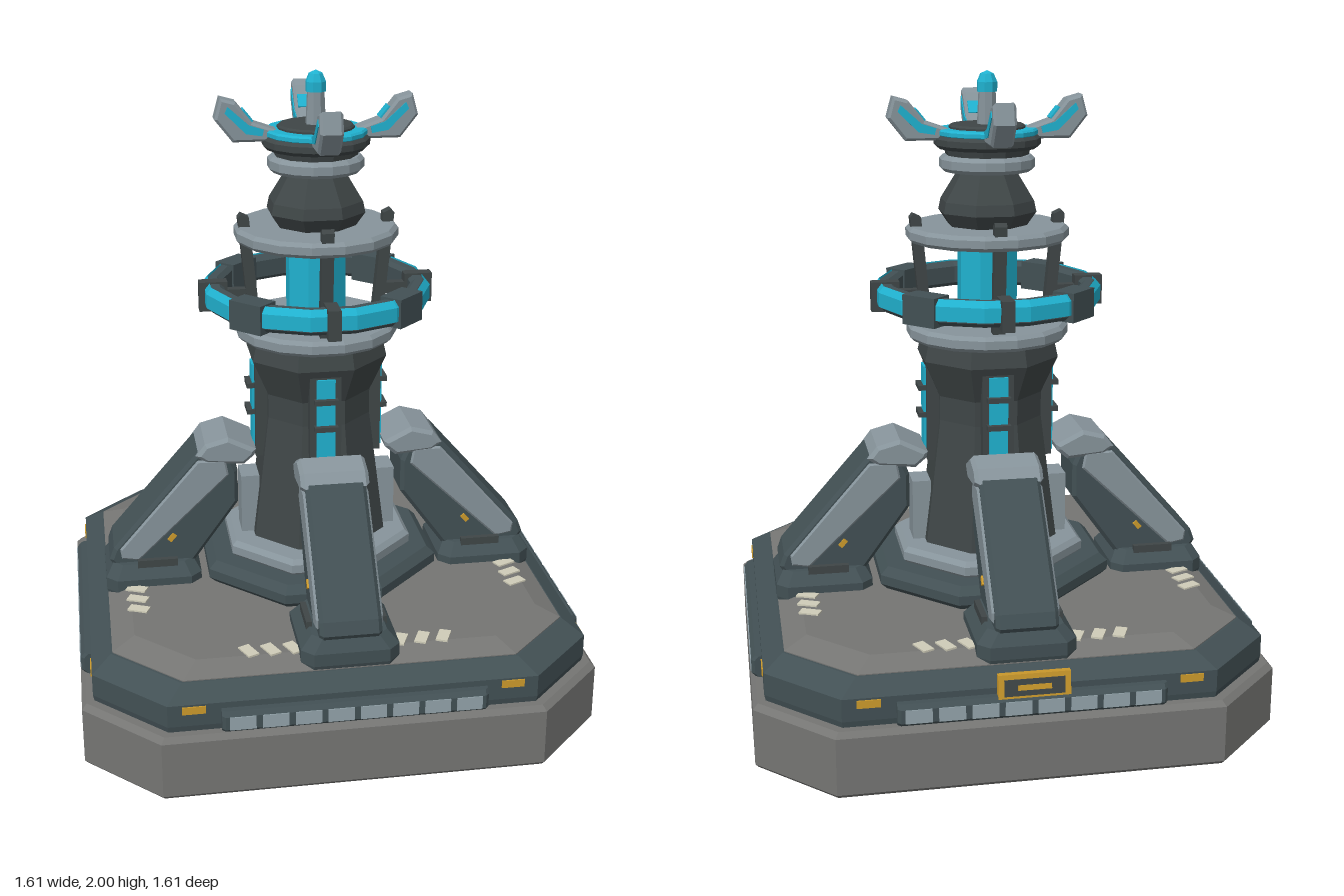
import * as THREE from 'three';

const mat = (name, color) => {
  const m = new THREE.MeshStandardMaterial({ color });
  m.name = name;
  return m;
};
const concrete = mat('concrete', 0x757573);
const slate = mat('dark slate', 0x425054);
const iron = mat('dark iron', 0x3f4647);
const steel = mat('light steel', 0x87949b);
const cyan = mat('cyan glow', 0x20b2d0);
const amber = mat('amber', 0xcc9a2c);
const ivory = mat('ivory paint', 0xcfccb8);
const pane = mat('pale pane', 0x93a3aa);

// Faceted mesh added to a parent
function add(parent, name, geometry, material) {
  const g = geometry.index ? geometry.toNonIndexed() : geometry;
  g.computeVertexNormals();
  const mesh = new THREE.Mesh(g, material);
  mesh.name = name;
  parent.add(mesh);
  return mesh;
}

function box(parent, name, m, [w, h, d], [x, y, z]) {
  const mesh = add(parent, name, new THREE.BoxGeometry(w, h, d), m);
  mesh.position.set(x, y, z);
  return mesh;
}

// Polygonal turned part; radii are measured to the flats
function turned(parent, name, m, sides, profile) {
  const k = 1 / Math.cos(Math.PI / sides);
  const g = new THREE.LatheGeometry(profile.map(([r, y]) => new THREE.Vector2(r * k, y)), sides);
  g.rotateY(Math.PI / sides);
  return add(parent, name, g, m);
}

// Disc with bevelled rim
function disc(parent, name, m, sides, r, y0, y1, b = 0.012) {
  return turned(parent, name, m, sides,
    [[0, y0], [r - b, y0], [r, y0 + b], [r, y1 - b], [r - b, y1], [0, y1]]);
}

// Stack of corner-cut rectangles, each [halfX, halfZ, cut, y]
function slab(parent, name, m, sections) {
  const rings = sections.map(([a, b, c, y]) => [
    [a - c, b], [a, b - c], [a, c - b], [a - c, -b],
    [c - a, -b], [-a, c - b], [-a, b - c], [c - a, b],
  ].map(([x, z]) => [x, y, z]));
  const v = [];
  const last = rings.length - 1;
  for (let j = 0; j < 8; j++) {
    const k = (j + 1) % 8;
    for (let i = 0; i < last; i++) {
      const [a, b, c, d] = [rings[i][j], rings[i][k], rings[i + 1][k], rings[i + 1][j]];
      v.push(...a, ...b, ...d, ...b, ...c, ...d);
    }
    v.push(0, sections[last][3], 0, ...rings[last][j], ...rings[last][k]);
    v.push(0, sections[0][3], 0, ...rings[0][k], ...rings[0][j]);
  }
  const g = new THREE.BufferGeometry();
  g.setAttribute('position', new THREE.Float32BufferAttribute(v, 3));
  return add(parent, name, g, m);
}

// Side profile in x and y, given a width centred on z
function plate(parent, name, m, profile, width, bevel = 0) {
  const shape = new THREE.Shape(profile.map(([x, y]) => new THREE.Vector2(x, y)));
  const g = new THREE.ExtrudeGeometry(shape, {
    depth: width - 2 * bevel, bevelEnabled: bevel > 0, bevelSegments: 1,
    bevelSize: bevel, bevelThickness: bevel, bevelOffset: -bevel,
  });
  g.translate(0, 0, bevel - width / 2);
  return add(parent, name, g, m);
}

// Everything that repeats on each of the four sides, built toward +x
function buildSide(side) {
  // Edge light strip and amber markers
  const strip = slab(side, 'edgeStrip', slate,
    [[0.02, 0.4, 0.01, 0.208], [0.032, 0.4, 0.01, 0.22], [0.032, 0.4, 0.01, 0.262], [0.02, 0.4, 0.01, 0.276]]);
  strip.position.x = 0.77;
  for (let i = 0; i < 8; i++) {
    box(side, 'stripPane', pane, [0.006, 0.042, 0.078], [0.802, 0.241, (i - 3.5) * 0.097]);
  }
  for (const s of [-1, 1]) {
    box(side, 'amberMarker', amber, [0.008, 0.024, 0.07], [0.77, 0.277, s * 0.48]);
    // Slanted deck markings
    for (const z of [0.165, 0.233, 0.3]) {
      const mark = box(side, 'deckMarking', ivory, [0.065, 0.006, 0.036], [0.613, 0.367, s * z]);
      mark.rotation.y = s * 0.42;
    }
  }

  // Buttress
  const foot = slab(side, 'buttressFoot', slate,
    [[0.15, 0.145, 0.03, 0.335], [0.155, 0.15, 0.035, 0.35], [0.155, 0.15, 0.035, 0.39], [0.13, 0.115, 0.03, 0.43]]);
  foot.position.x = 0.553;
  plate(side, 'buttressBody', slate,
    [[0.43, 0.4], [0.67, 0.4], [0.695, 0.44], [0.68, 0.48], [0.4, 0.8], [0.3, 0.8], [0.27, 0.73], [0.27, 0.62]], 0.19, 0.012);
  plate(side, 'buttressSidePanel', steel,
    [[0.6, 0.435], [0.655, 0.445], [0.66, 0.478], [0.4, 0.775], [0.31, 0.775], [0.3, 0.72]], 0.204, 0.006);
  plate(side, 'buttressCap', steel,
    [[0.25, 0.755], [0.37, 0.765], [0.405, 0.79], [0.375, 0.83], [0.3, 0.85], [0.21, 0.805], [0.215, 0.785]], 0.214, 0.012);
  for (const s of [-1, 1]) {
    const lamp = box(side, 'buttressLamp', amber, [0.028, 0.016, 0.006], [0.49, 0.512, s * 0.102]);
    lamp.rotation.z = -0.85;
    box(side, 'footClip', iron, [0.13, 0.03, 0.018], [0.54, 0.43, s * 0.115]);
  }

  // Tower fittings
  box(side, 'towerBasePanel', steel, [0.06, 0.2, 0.1], [0.225, 0.59, 0]);
  box(side, 'windowFrame', iron, [0.05, 0.33, 0.1], [0.18, 0.925, 0]);
  box(side, 'towerWindow', cyan, [0.05, 0.3, 0.06], [0.188, 0.92, 0]);
  for (const y of [0.91, 1.0]) box(side, 'windowBar', iron, [0.06, 0.016, 0.075], [0.2, y, 0]);

  // Cage post, ring bracket and spoke
  plate(side, 'cagePost', iron, [[0.18, 1.2], [0.215, 1.2], [0.248, 1.55], [0.238, 1.562], [0.213, 1.55]], 0.038);
  box(side, 'ringSpoke', iron, [0.1, 0.035, 0.03], [0.265, 1.302, 0]);
  box(side, 'ringBracket', iron, [0.09, 0.095, 0.04], [0.329, 1.3, 0]);

  // Antenna prong with cyan inlay
  plate(side, 'antennaProng', steel,
    [[0.1, 1.79], [0.26, 1.79], [0.315, 1.86], [0.297, 1.925], [0.25, 1.912], [0.2, 1.85], [0.1, 1.815]], 0.07, 0.008);
  plate(side, 'prongInlay', cyan,
    [[0.17, 1.808], [0.22, 1.816], [0.284, 1.88], [0.275, 1.9], [0.21, 1.842], [0.165, 1.828]], 0.076);
  const patch = box(side, 'prongPatch', cyan, [0.045, 0.008, 0.05], [0.213, 1.868, 0]);
  patch.rotation.z = 0.89;
}

export function createModel() {
  const model = new THREE.Group();
  model.name = 'beaconTower';

  // Stepped platform
  slab(model, 'foundation', concrete,
    [[0.795, 0.795, 0.22, 0], [0.805, 0.805, 0.225, 0.012], [0.805, 0.805, 0.225, 0.19], [0.79, 0.79, 0.22, 0.206]]);
  slab(model, 'platformRim', slate,
    [[0.765, 0.765, 0.21, 0.2], [0.77, 0.77, 0.212, 0.225], [0.77, 0.77, 0.212, 0.295], [0.71, 0.71, 0.2, 0.335]]);
  slab(model, 'deck', concrete,
    [[0.705, 0.705, 0.2, 0.33], [0.705, 0.705, 0.2, 0.338], [0.635, 0.635, 0.175, 0.365]]);

  // Four matching sides
  for (let i = 0; i < 4; i++) {
    const side = new THREE.Group();
    side.name = 'side' + (i + 1);
    side.rotation.y = i * Math.PI / 2;
    buildSide(side);
    model.add(side);
  }

  // Rear plaque, tilted on the rim
  const plaque = new THREE.Group();
  plaque.name = 'rearPlaque';
  plaque.position.set(0, 0.3, -0.782);
  plaque.rotation.x = 0.1;
  box(plaque, 'plaqueFrame', amber, [0.215, 0.08, 0.022], [0, 0, 0]);
  box(plaque, 'plaqueFace', iron, [0.18, 0.05, 0.008], [0, 0, -0.01]);
  box(plaque, 'plaqueBar', amber, [0.1, 0.016, 0.006], [0, 0, -0.013]);
  model.add(plaque);

  // Tower
  disc(model, 'towerFlange', slate, 8, 0.375, 0.36, 0.44, 0.025);
  disc(model, 'towerCollar', steel, 8, 0.295, 0.435, 0.492, 0.015);
  turned(model, 'towerShaft', iron, 8,
    [[0, 0.45], [0.22, 0.45], [0.165, 0.9], [0.165, 0.98], [0.215, 1.1], [0.2, 1.17], [0, 1.17]]);
  disc(model, 'lowerRing', steel, 16, 0.255, 1.16, 1.21);
  turned(model, 'energyCore', cyan, 8, [[0, 1.2], [0.09, 1.2], [0.09, 1.485], [0, 1.485]]);
  disc(model, 'upperRing', steel, 16, 0.255, 1.474, 1.522);
  turned(model, 'spire', iron, 8,
    [[0, 1.515], [0.115, 1.515], [0.147, 1.565], [0.14, 1.6], [0.085, 1.695], [0, 1.695]]);
  disc(model, 'spireRing', steel, 16, 0.148, 1.692, 1.742);
  turned(model, 'spireNeck', iron, 12, [[0, 1.735], [0.125, 1.735], [0.135, 1.775], [0, 1.775]]);

  // Antenna head
  disc(model, 'antennaDish', iron, 16, 0.165, 1.763, 1.806);
  disc(model, 'antennaGlow', cyan, 16, 0.157, 1.8, 1.824, 0.006);
  disc(model, 'antennaLid', iron, 16, 0.118, 1.815, 1.836, 0.006);
  turned(model, 'antennaMast', steel, 8, [[0, 1.83], [0.03, 1.83], [0.025, 1.945], [0, 1.945]]);
  turned(model, 'antennaTip', cyan, 8,
    [[0, 1.935], [0.03, 1.935], [0.03, 1.965], [0.02, 1.99], [0, 2.0]]);

  // Floating ring with cyan band and diagonal clamps
  turned(model, 'floatingRing', slate, 16,
    [[0.295, 1.275], [0.31, 1.262], [0.335, 1.262], [0.348, 1.275], [0.348, 1.33], [0.335, 1.342],
      [0.31, 1.342], [0.295, 1.33], [0.295, 1.275]]);
  turned(model, 'ringBand', cyan, 16,
    [[0.34, 1.28], [0.356, 1.28], [0.356, 1.325], [0.34, 1.345], [0.34, 1.28]]);
  for (let i = 0; i < 4; i++) {
    const pivot = new THREE.Group();
    pivot.name = 'ringClampPivot';
    pivot.rotation.y = (i + 0.5) * Math.PI / 2;
    box(pivot, 'ringClamp', slate, [0.076, 0.092, 0.12], [0.326, 1.302, 0]);
    model.add(pivot);
  }
  return model;
}
